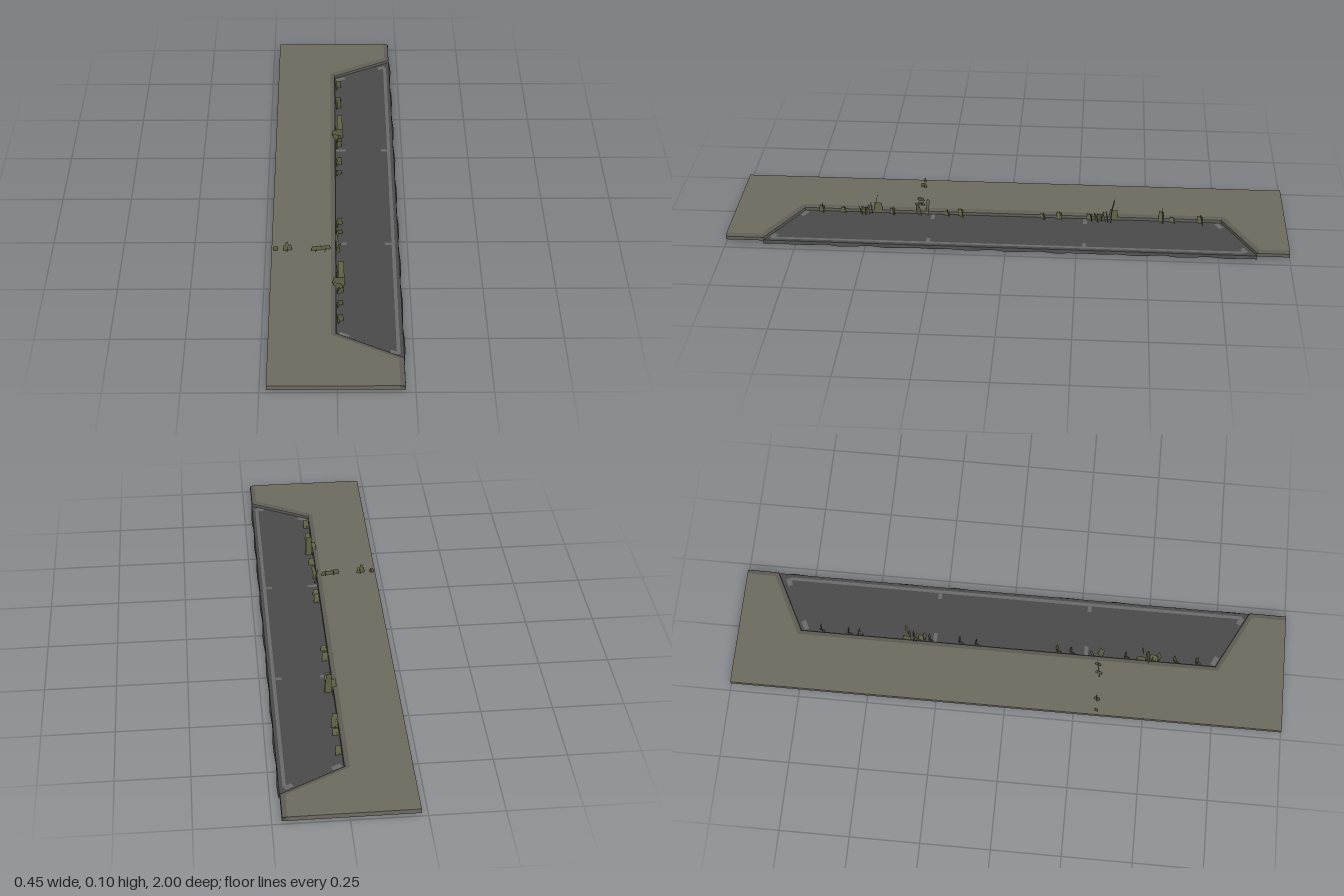
import * as THREE from 'three';

const mat = (name, color) => {
  const m = new THREE.MeshStandardMaterial({ color, side: THREE.DoubleSide });
  m.name = name;
  return m;
};

export function createModel() {
  const model = new THREE.Group();
  const paving = mat('paving', 0x6e6b60);
  const kerbStone = mat('kerbStone', 0x5f5d55);
  const asphalt = mat('asphalt', 0x4a4a4a);
  const paint = mat('wornPaint', 0x6a6a6a);
  const foliage = mat('foliage', 0x66664a);

  const add = (name, geometry, material, parent = model) => {
    const mesh = new THREE.Mesh(geometry, material);
    mesh.name = name;
    parent.add(mesh);
    return mesh;
  };

  // Horizontal sheet from [x, z] corners
  const sheet = (name, corners, y, material) => {
    const shape = new THREE.Shape(corners.map(([x, z]) => new THREE.Vector2(x, -z)));
    return add(name, new THREE.ShapeGeometry(shape).rotateX(-Math.PI / 2).translate(0, y, 0), material);
  };

  // Strip of quads between two matching rows of [x, y, z] points
  const strip = (name, rowA, rowB, material) => {
    const pos = [];
    for (let i = 0; i < rowA.length - 1; i++) {
      pos.push(...rowA[i], ...rowB[i], ...rowA[i + 1], ...rowA[i + 1], ...rowB[i], ...rowB[i + 1]);
    }
    const g = new THREE.BufferGeometry();
    g.setAttribute('position', new THREE.Float32BufferAttribute(pos, 3));
    g.computeVertexNormals();
    return add(name, g, material);
  };

  // Kerb line around the lay-by, with mitred offsets toward the pavement
  const path = [[0.218, -1], [0.218, -0.885], [-0.002, -0.77], [-0.002, 0.75], [0.218, 0.865], [0.218, 1]];
  const normal = (a, b) => {
    const dx = b[0] - a[0], dz = b[1] - a[1], l = Math.hypot(dx, dz);
    return [-dz / l, dx / l];
  };
  const offset = (d) => path.map((p, i) => {
    const n1 = normal(path[Math.max(i - 1, 0)], path[Math.max(i, 1)]);
    const last = path.length - 1;
    const n2 = normal(path[Math.min(i, last - 1)], path[Math.min(i + 1, last)]);
    const k = d / (1 + n1[0] * n2[0] + n1[1] * n2[1]);
    return [p[0] + (n1[0] + n2[0]) * k, p[1] + (n1[1] + n2[1]) * k];
  });
  const row = (d, y) => offset(d).map(([x, z]) => [x, y, z]);

  // Pavement: hollow slab with open underside
  sheet('pavementTop', [[-0.227, -1], ...offset(0.018), [-0.227, 1]], 0.03, paving);
  const rim = [[0.2, 1], [-0.227, 1], [-0.227, -1], [0.2, -1]];
  strip('pavementSides', rim.map(([x, z]) => [x, 0.03, z]), rim.map(([x, z]) => [x, 0.013, z]), paving);

  // Kerb: sloping top, rounded nose and upright face
  const profile = [[0.018, 0.03], [0.005, 0.0285], [0.001, 0.025], [0, 0.013]];
  for (let i = 0; i < 3; i++) {
    strip(['kerbTop', 'kerbNose', 'kerbFace'][i], row(...profile[i]), row(...profile[i + 1]), kerbStone);
  }
  for (const z of [-1, 1]) {
    strip('kerbEnd', [[0.2, 0.03, z], [0.218, 0.025, z]], [[0.2, 0.013, z], [0.218, 0.013, z]], kerbStone);
  }

  // Asphalt bed and its ragged outer edge
  sheet('asphaltBed', [[-0.01, -1], [0.218, -1], [0.218, 1], [-0.01, 1]], 0.0145, asphalt);
  const top = [], foot = [];
  for (let i = 0; i <= 32; i++) {
    const z = -0.885 + i * 1.75 / 32;
    top.push([0.218, 0.0145, z]);
    foot.push([0.2215 + 0.0025 * Math.sin(i * 1.7), 0.003 + 0.003 * Math.sin(i * 2.3), z]);
  }
  strip('asphaltEdge', top, foot, asphalt);

  // Painted edge line and bay marks
  const mark = (x, z, w, d, turn = 0) => {
    const m = add('paintMark', new THREE.PlaneGeometry(w, d).rotateX(-Math.PI / 2), paint);
    m.position.set(x, 0.0156, z);
    m.rotation.y = turn;
  };
  mark(0.2, 0, 0.012, 1.68);
  for (const s of [-1, 1]) {
    mark(0.018, s * 0.278, 0.036, 0.014);
    mark(0.182, s * 0.278, 0.022, 0.014);
    mark(0.022, s * 0.755 - 0.006, 0.036, 0.018, s * -0.48);
    mark(0.186, s * 0.838 - 0.004, 0.03, 0.018, s * -0.48);
  }

  // Weeds: upright leaf cards that taper and lean
  const leaf = (plant, x, z, w, h, yaw, base = 0.015, lean = 0) => {
    const g = new THREE.PlaneGeometry(w, h, 1, 2).translate(0, h / 2, 0);
    const p = g.attributes.position;
    for (let i = 0; i < p.count; i++) {
      const t = p.getY(i) / h;
      p.setX(i, p.getX(i) * (1 - 0.2 * t));
      p.setZ(i, lean * t * t);
    }
    g.computeVertexNormals();
    const m = add('leaf', g, foliage, plant);
    m.position.set(x, base, z);
    m.rotation.y = yaw;
  };
  const newPlant = (name) => {
    const plant = new THREE.Group();
    plant.name = name;
    model.add(plant);
    return plant;
  };

  // Two tall clumps against the kerb
  for (const z of [0.49, -0.37]) {
    const clump = newPlant('tallWeed');
    leaf(clump, 0.015, z, 0.024, 0.089, 0.1, 0.015, -0.012);
    leaf(clump, 0.006, z + 0.012, 0.046, 0.044, 0.15, 0.015, 0.006);
    leaf(clump, 0, z - 0.01, 0.034, 0.042, 1.45);
    leaf(clump, 0.006, z + 0.035, 0.034, 0.03, 1.2, 0.015, 0.008);
    leaf(clump, 0.004, z + 0.03, 0.036, 0.028, -0.3);
    leaf(clump, 0.012, z + 0.05, 0.024, 0.034, 0.5, 0.015, 0.01);
  }

  // Small weeds along the kerb: z, height
  const small = [[-0.7, 0.036], [-0.6, 0.025], [-0.56, 0.056], [-0.3, 0.03], [-0.19, 0.036], [-0.13, 0.022],
    [0.17, 0.036], [0.22, 0.022], [0.42, 0.028], [0.6, 0.026], [0.68, 0.036]];
  small.forEach(([z, h], i) => {
    const weed = newPlant('smallWeed');
    leaf(weed, 0.01, z, 0.024, h, 0.3 - 0.2 * (i % 3), 0.015, 0.006);
    leaf(weed, 0.006, z + 0.008, 0.022, h * 0.75, 1.3, 0.015, -0.004);
  });

  // Weeds growing through the pavement: x, z, width, height
  const pavementWeeds = [[-0.213, 0.33, 0.016, 0.018], [-0.171, 0.33, 0.032, 0.024], [-0.07, 0.33, 0.038, 0.019],
    [-0.038, 0.325, 0.036, 0.017]];
  for (const [x, z, w, h] of pavementWeeds) {
    const weed = newPlant('pavementWeed');
    leaf(weed, x, z, w, h, 0.15, 0.03);
    leaf(weed, x, z, w * 0.7, h * 0.8, 1.3, 0.03, 0.003);
  }
  const sprig = newPlant('pavementSprig');
  leaf(sprig, -0.173, 0.33, 0.012, 0.036, 0.2, 0.03);
  leaf(sprig, 0.004, 0.33, 0.024, 0.05, 0.9, 0.015, 0.01);
  leaf(sprig, 0.004, 0.3, 0.016, 0.06, 1.0, 0.015, -0.008);

  return model;
}
